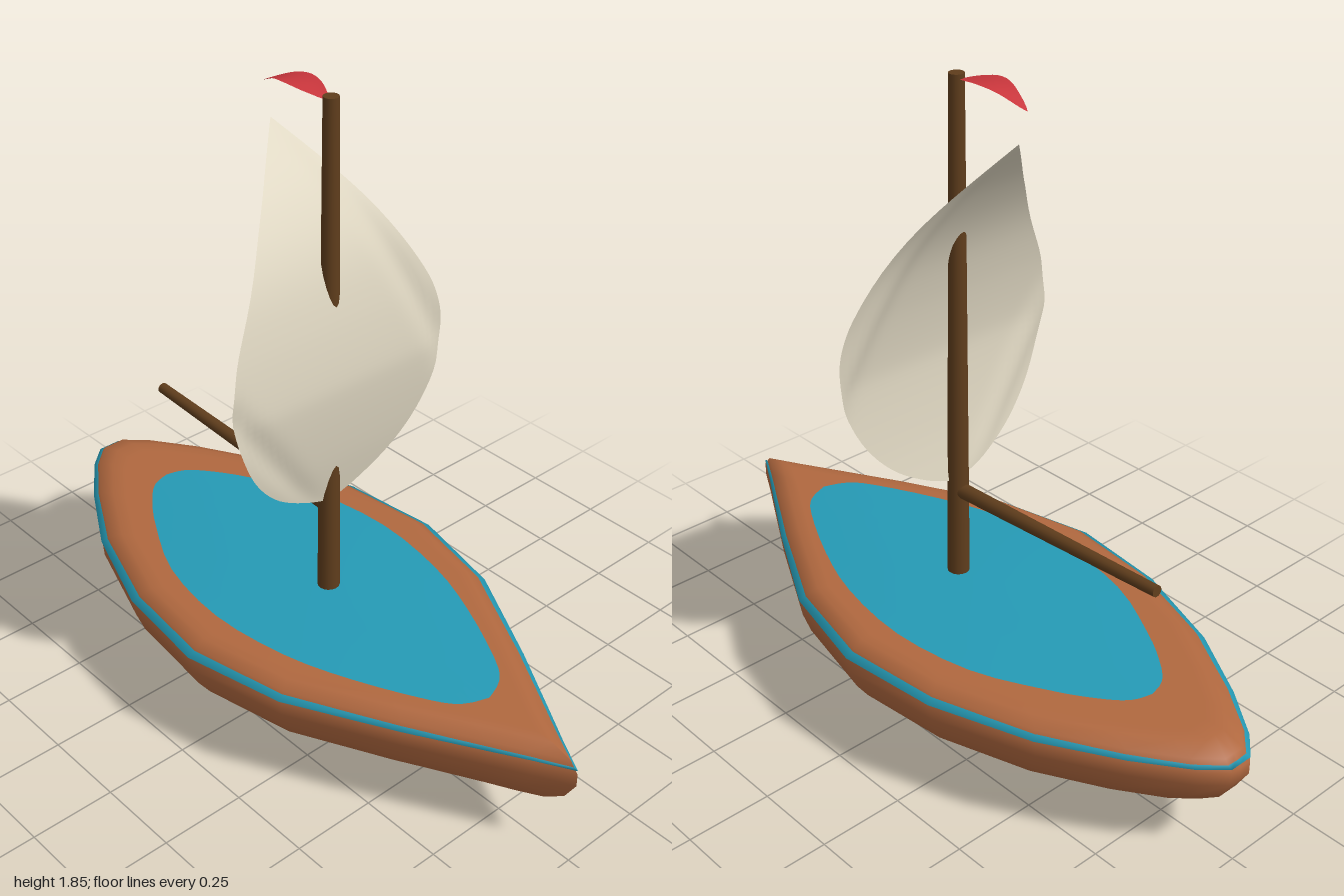
import * as THREE from 'three';

const mat = (name, color, side = THREE.FrontSide) => {
  const m = new THREE.MeshStandardMaterial({ color, side });
  m.name = name;
  return m;
};

// Surface from a rule p(i, j); normals face along di x dj
function grid(nu, nv, p) {
  const pos = [], idx = [];
  for (let j = 0; j <= nv; j++) for (let i = 0; i <= nu; i++) pos.push(...p(i, j));
  for (let j = 0; j < nv; j++) for (let i = 0; i < nu; i++) {
    const a = j * (nu + 1) + i, b = a + 1, c = a + nu + 1, d = c + 1;
    idx.push(a, b, d, a, d, c);
  }
  const g = new THREE.BufferGeometry();
  g.setAttribute('position', new THREE.Float32BufferAttribute(pos, 3));
  g.setIndex(idx);
  g.computeVertexNormals();
  return g;
}

// Mirrors a half outline of [x, z] points into a closed loop from the bow
const mirrored = half => [...half, ...half.slice(0, -1).reverse().map(([x, z]) => [-x, z])];

// Smooth resampling of a short [x, y] list
const smooth = (pts, n) => new THREE.SplineCurve(pts.map(p => new THREE.Vector2(...p)))
  .getPoints(n).map(p => [p.x, p.y]);

// Tapered round spar between two points
function spar(a, b, r0, r1) {
  const A = new THREE.Vector3(...a), d = new THREE.Vector3(...b).sub(A);
  const g = new THREE.CylinderGeometry(r1, r0, d.length(), 16);
  g.translate(0, d.length() / 2, 0);
  g.applyQuaternion(new THREE.Quaternion().setFromUnitVectors(
    new THREE.Vector3(0, 1, 0), d.normalize()));
  return g.translate(...a);
}

export function createModel() {
  const boat = new THREE.Group();
  boat.name = 'sailboat';
  const wood = mat('hull brown', 0xb0683f);
  const blue = mat('blue trim', 0x259ab5);
  const darkWood = mat('dark wood', 0x5f3d1c);
  const cloth = mat('sail cream', 0xddd5c0, THREE.DoubleSide);
  const red = mat('flag red', 0xc9363c, THREE.DoubleSide);
  const add = (name, geo, material) => {
    const m = new THREE.Mesh(geo, material);
    m.name = name;
    boat.add(m);
  };

  // Hull: one plan outline scaled at each height [y, x scale, z scale]
  const plan = mirrored([[0, 1], [0.055, 0.9], [0.113, 0.8], [0.228, 0.6], [0.385, 0.3], [0.452, 0],
    [0.42, -0.3], [0.32, -0.59], [0.2, -0.8], [0.1, -0.94], [0.035, -1], [0, -1]]);
  const levels = [[0.005, 0, 0], [0.01, 0.17, 0.22], [0.025, 0.34, 0.39], [0.05, 0.5, 0.56],
    [0.08, 0.64, 0.7], [0.115, 0.77, 0.81], [0.16, 0.87, 0.9], [0.21, 0.95, 0.965], [0.27, 1, 1],
    [0.31, 1, 1], [0.34, 0.965, 0.975], [0.358, 0.9, 0.91], [0.36, 0.83, 0.85], [0.361, 0, 0]];
  add('hull', grid(plan.length - 1, levels.length - 1, (i, j) => {
    const [y, sx, sz] = levels[j];
    return [plan[i][0] * sx, y, plan[i][1] * sz];
  }), wood);

  // Rub rail: pointed band, thinning toward bow and stern
  const rail = [[-0.016, 0.985], [0, 1.025], [0.016, 0.95]];
  add('rubRail', grid(plan.length - 1, 2, (i, j) => {
    const [x, z] = plan[i], t = 0.25 + 0.75 * Math.abs(x) / 0.452;
    return [x * rail[j][1], 0.322 + rail[j][0] * t, z * (j === 1 ? 1 : 0.985)];
  }), blue);

  // Slightly domed deck panel
  const panel = mirrored(smooth([[0, 0.69], [0.07, 0.66], [0.125, 0.59], [0.22, 0.4], [0.29, 0.2],
    [0.322, -0.05], [0.285, -0.3], [0.19, -0.5], [0.12, -0.61], [0.06, -0.675], [0, -0.695]], 30));
  add('deckPanel', grid(panel.length - 1, 6, (i, j) => {
    const s = 1 - j / 6;
    return [panel[i][0] * s, 0.362 + 0.013 * (1 - s * s), panel[i][1] * s];
  }), blue);

  // Mast and boom
  add('mast', spar([0, 0.35, 0.06], [0, 1.85, 0.06], 0.032, 0.021), darkWood);
  add('boom', spar([0, 0.645, 0.05], [0, 0.683, -0.69], 0.022, 0.016), darkWood);

  // Sail: half widths [x, y] and belly [z, y], with two soft diagonal folds
  const edge = smooth([[0, 0.668], [0.1, 0.705], [0.21, 0.775], [0.295, 0.875], [0.35, 1.0], [0.365, 1.1],
    [0.352, 1.2], [0.31, 1.3], [0.2, 1.48], [0.1, 1.61], [0, 1.725]], 48);
  const belly = smooth([[0.065, 0.668], [0.095, 0.83], [0.115, 1.0], [0.115, 1.1], [0.09, 1.26],
    [0.045, 1.41], [-0.04, 1.56], [-0.167, 1.725]], 100);
  const bellyAt = y => {
    const k = Math.max(1, belly.findIndex(p => p[1] >= y - 1e-6));
    const [z0, y0] = belly[k - 1], [z1, y1] = belly[k];
    return z0 + (z1 - z0) * (y - y0) / (y1 - y0);
  };
  const fold = (x, y, ax, ay, bx, by) => {
    const len = Math.hypot(bx - ax, by - ay);
    const d = ((x - ax) * (by - ay) - (y - ay) * (bx - ax)) / len;
    return Math.exp(-((d / 0.035) ** 2));
  };
  add('sail', grid(36, 48, (i, j) => {
    const [w, y] = edge[j], x = w * (i / 18 - 1), fade = w / 0.365;
    const f = fold(x, y, -0.36, 1.08, -0.08, 0.7) + fold(x, y, 0.05, 1.68, 0.34, 1.1);
    return [x, y, bellyAt(y) - 0.014 * fade * f];
  }), cloth);

  // Leaf-shaped pennant arching aft from the masthead
  const arch = smooth([[0.05, 1.835], [0, 1.846], [-0.06, 1.853], [-0.12, 1.845], [-0.195, 1.815]], 16);
  add('pennant', grid(6, 16, (i, j) => {
    const s = i / 3 - 1, w = 0.044 * Math.sin(Math.PI * j / 16);
    return [s * w, arch[j][1] + 0.006 * s * s * w / 0.044, arch[j][0]];
  }), red);

  return boat;
}
